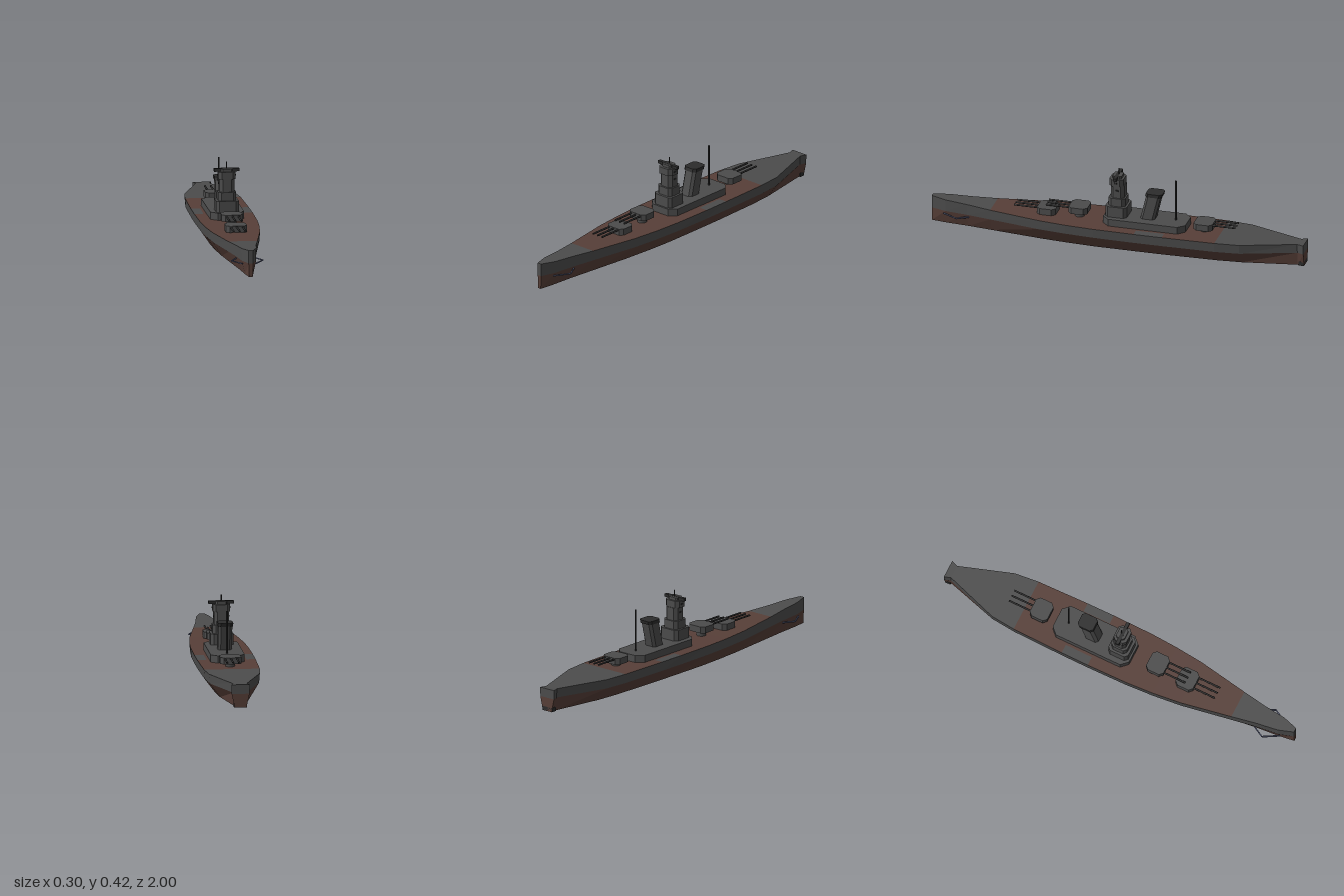
import * as THREE from 'three';

const mat = (name, color) => {
  const m = new THREE.MeshStandardMaterial({ color });
  m.name = name;
  return m;
};

export function createModel() {
  const ship = new THREE.Group();
  ship.name = 'battleship';
  const grey = mat('steelGrey', 0x4c4c4c);
  const brown = mat('redBrown', 0x573f38);
  const dark = mat('gunBlack', 0x2c2c2c);
  const blue = mat('slateBlue', 0x565c78);

  const add = (name, geo, material, x = 0, y = 0, z = 0, parent = ship) => {
    const m = new THREE.Mesh(geo, material);
    m.name = name;
    m.position.set(x, y, z);
    parent.add(m);
    return m;
  };

  // Block with chamfered vertical corners, standing on y = 0
  const block = (hw, hd, h, c) => {
    const s = new THREE.Shape([
      [hw - c, -hd], [hw, -hd + c], [hw, hd - c], [hw - c, hd],
      [-hw + c, hd], [-hw, hd - c], [-hw, -hd + c], [-hw + c, -hd],
    ].map(([x, y]) => new THREE.Vector2(x, y)));
    return new THREE.ExtrudeGeometry(s, { depth: h, bevelEnabled: false }).rotateX(-Math.PI / 2);
  };

  // Round bar between two points
  const bar = (name, a, b, r, material, sides = 8, parent = ship) => {
    const p = new THREE.Vector3(...a), q = new THREE.Vector3(...b);
    const m = add(name, new THREE.CylinderGeometry(r, r, p.distanceTo(q), sides), material, 0, 0, 0, parent);
    m.position.copy(p).add(q).multiplyScalar(0.5);
    m.quaternion.setFromUnitVectors(new THREE.Vector3(0, 1, 0), q.sub(p).normalize());
    return m;
  };

  // Hull stations from stern to bow: z, deck half width, keel half width, deck height
  const stations = [
    [-1, 0.048, 0.03, 0.12], [-0.965, 0.036, 0.025, 0.12], [-0.68, 0.132, 0.075, 0.121],
    [-0.55, 0.145, 0.086, 0.122], [-0.27, 0.151, 0.094, 0.122], [-0.12, 0.152, 0.095, 0.122],
    [0.1, 0.149, 0.095, 0.122], [0.25, 0.14, 0.088, 0.122], [0.4, 0.124, 0.076, 0.123],
    [0.67, 0.076, 0.045, 0.126], [0.8, 0.053, 0.03, 0.131], [0.92, 0.038, 0.02, 0.136],
    [1, 0.012, 0.009, 0.14],
  ];
  const WATER = 0.072;
  const greyTris = [], brownTris = [];
  const quad = (out, a, b, c, d) => out.push(...a, ...b, ...c, ...a, ...c, ...d);
  const rings = stations.map(([z, w, k, h]) => ({ z, w, h, low: [k, 0, z], mid: [w * 0.97, WATER, z], top: [w, h, z] }));
  const flip = ([x, y, z]) => [-x, y, z];
  const strip = (out, s, e, lo, hi) => {
    quad(out, e[lo], s[lo], s[hi], e[hi]);
    quad(out, flip(s[lo]), flip(e[lo]), flip(e[hi]), flip(s[hi]));
  };
  const cols = [-1, -0.68, 0.68, 1];
  for (let i = 0; i < rings.length - 1; i++) {
    const s = rings[i], e = rings[i + 1];
    strip(brownTris, s, e, 'low', 'mid');
    strip(greyTris, s, e, 'mid', 'top');
    quad(brownTris, flip(s.low), s.low, e.low, flip(e.low));
    // Deck: wooden amidships, steel at the ends and in two side patches
    for (let j = 0; j < 3; j++) {
      const wood = s.z >= -0.56 && e.z <= 0.68 && !(s.z === -0.27 && j !== 1);
      const at = (r, f) => [r.w * f, r.h, r.z];
      quad(wood ? brownTris : greyTris, at(e, cols[j]), at(e, cols[j + 1]), at(s, cols[j + 1]), at(s, cols[j]));
    }
  }
  // Stem and transom
  const stern = rings[0], bow = rings[rings.length - 1];
  for (const [out, lo, hi] of [[brownTris, 'low', 'mid'], [greyTris, 'mid', 'top']]) {
    quad(out, flip(bow[lo]), bow[lo], bow[hi], flip(bow[hi]));
    quad(out, stern[lo], flip(stern[lo]), flip(stern[hi]), stern[hi]);
  }
  const surface = (tris) => {
    const g = new THREE.BufferGeometry();
    g.setAttribute('position', new THREE.Float32BufferAttribute(tris, 3));
    g.computeVertexNormals();
    return g;
  };
  add('upperHullAndSteelDeck', surface(greyTris), grey);
  add('lowerHullAndWoodenDeck', surface(brownTris), brown);
  add('sternPlate', new THREE.BoxGeometry(0.066, 0.022, 0.03), dark, 0, 0.011, -0.985);

  // Triple gun turrets: z centre, base height, gun height, direction
  for (const [name, z, y, gunY, dir] of [
    ['frontTurret', 0.38, 0.125, 0.153, 1],
    ['raisedTurret', 0.21, 0.15, 0.175, 1],
    ['rearTurret', -0.46, 0.14, 0.168, -1],
  ]) {
    const turret = new THREE.Group();
    turret.name = name;
    ship.add(turret);
    add('gunHouse', block(0.055, 0.05, 0.034, 0.018), grey, 0, y, z, turret);
    add('barbette', new THREE.CylinderGeometry(0.025, 0.025, y - 0.118, 12), grey, 0, (y + 0.118) / 2, z, turret);
    for (const x of [-0.031, 0, 0.031])
      bar('gunBarrel', [x, gunY, z + dir * 0.04], [x, gunY, z + dir * 0.173], 0.005, dark, 8, turret);
  }

  // Superstructure and stepped bridge tower
  add('superstructure', block(0.088, 0.22, 0.042, 0.035), grey, 0, 0.118, -0.15);
  for (const [hw, hd, y, h, z] of [
    [0.059, 0.057, 0.16, 0.058, 0.003],
    [0.047, 0.045, 0.218, 0.044, 0.002],
    [0.039, 0.036, 0.262, 0.068, 0.001],
    [0.045, 0.037, 0.33, 0.037, 0.006],
  ]) add('bridgeTier', block(hw, hd, h, 0.016), grey, 0, y, z);
  add('rangefinder', new THREE.BoxGeometry(0.131, 0.016, 0.018), dark, 0, 0.375, 0.006);
  add('rangefinderHousing', block(0.03, 0.024, 0.015, 0.008), grey, 0, 0.367, 0.004);
  bar('topMast', [0, 0.38, 0], [0, 0.416, 0], 0.003, dark);
  for (const side of [-1, 1]) {
    add('lookout', new THREE.BoxGeometry(0.006, 0.008, 0.014), dark, side * 0.045, 0.348, 0.006);
    add('lookout', new THREE.BoxGeometry(0.006, 0.008, 0.014), dark, side * 0.039, 0.304, 0);
  }

  // Raked funnel with a black cap
  const rake = (geo, y0) => {
    const p = geo.attributes.position;
    for (let i = 0; i < p.count; i++) p.setZ(i, p.getZ(i) - 0.24 * (p.getY(i) + y0));
    geo.computeVertexNormals();
    return geo;
  };
  add('funnel', rake(block(0.036, 0.039, 0.13, 0.013), 0), grey, 0, 0.16, -0.16);
  add('funnelCap', rake(block(0.04, 0.044, 0.018, 0.014), 0.13), dark, 0, 0.288, -0.16);
  bar('rearMast', [0, 0.158, -0.305], [0, 0.382, -0.305], 0.0045, dark);

  // Bent rails at the bow
  for (const s of [-1, 1]) {
    bar('bowRail', [s * 0.036, 0.058, 0.93], [s * 0.082, 0.059, 0.85], 0.0045, blue, 4);
    bar('bowRail', [s * 0.082, 0.059, 0.85], [s * 0.05, 0.06, 0.79], 0.0045, blue, 4);
  }
  return ship;
}
